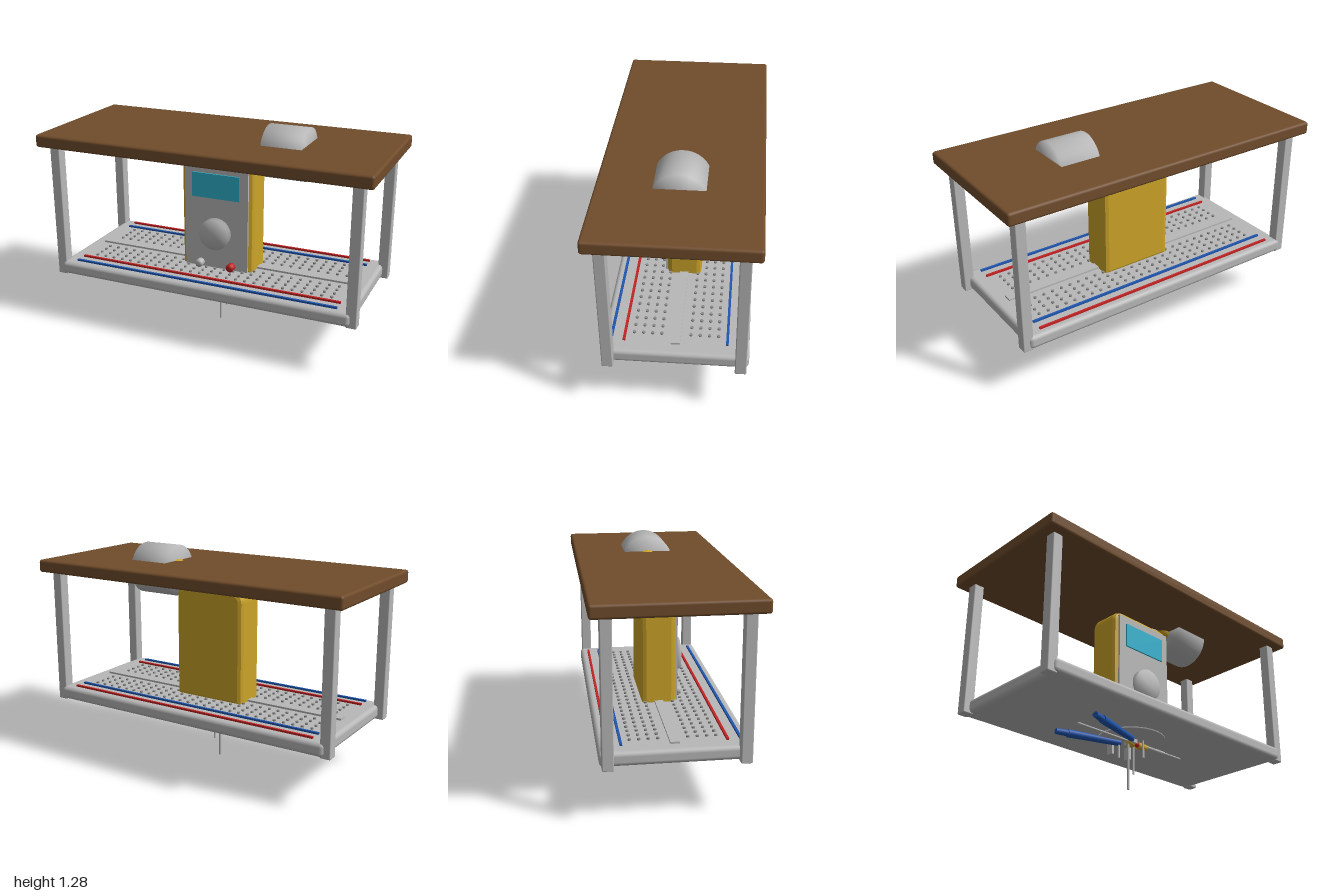
import * as THREE from 'three';
import { mergeVertices } from 'three/addons/utils/BufferGeometryUtils.js';
import { RoundedBoxGeometry } from 'three/addons/geometries/RoundedBoxGeometry.js';

const paint = (name, color) => Object.assign(new THREE.MeshStandardMaterial({ color }), { name });

export function createModel() {
  const root = new THREE.Group();
  root.name = 'workbench';
  const wood = paint('wood', 0x704c2b);
  const metal = paint('metal', 0xb8b8b8);
  const holeGrey = paint('holeGrey', 0x8a8a8a);
  const yellow = paint('yellow', 0xcca429);
  const teal = paint('teal', 0x2eb2cf);
  const red = paint('red', 0xc42222);
  const blue = paint('blue', 0x1f56b0);

  const add = (name, geo, mat, x = 0, y = 0, z = 0, parent = root) => {
    const m = new THREE.Mesh(geo, mat);
    m.name = name;
    m.position.set(x, y, z);
    parent.add(m);
    return m;
  };
  const box = (name, mat, w, h, d, x, y, z, parent) =>
    add(name, new THREE.BoxGeometry(w, h, d), mat, x, y, z, parent);
  const rounded = (name, mat, w, h, d, r, x, y, z) =>
    add(name, new RoundedBoxGeometry(w, h, d, 2, r), mat, x, y, z);

  // Cylinder whose caps share normals with the side, for a soft look
  const softCylinder = (r, h) => {
    const g = new THREE.CylinderGeometry(r, r, h, 40);
    g.deleteAttribute('normal');
    g.deleteAttribute('uv');
    const merged = mergeVertices(g);
    merged.computeVertexNormals();
    return merged;
  };

  // Tapered rod between two points
  const rod = (name, mat, a, b, r0, r1 = r0, parent = root) => {
    const p = new THREE.Vector3(...a), q = new THREE.Vector3(...b);
    const dir = q.clone().sub(p);
    const m = add(name, new THREE.CylinderGeometry(r1, r0, dir.length(), 16), mat, 0, 0, 0, parent);
    m.position.copy(p).add(q).multiplyScalar(0.5);
    m.quaternion.setFromUnitVectors(new THREE.Vector3(0, 1, 0), dir.normalize());
    return m;
  };

  // Table top and legs
  rounded('tableTop', wood, 2, 0.075, 0.885, 0.015, 0, 1.1475, 0);
  for (const sx of [-1, 1])
    for (const sz of [-1, 1])
      rounded('leg', metal, 0.062, 0.815, 0.062, 0.006, sx * 0.909, 0.7125, sz * 0.357);

  // Hole board with centre ridge and coloured rails
  rounded('board', metal, 1.81, 0.08, 0.8, 0.025, 0, 0.35, 0);
  box('centreRidge', metal, 1.66, 0.012, 0.05, 0, 0.395, 0);
  for (const [z, mat] of [[0.35, blue], [0.28, red], [-0.28, blue], [-0.35, red]])
    box('rail', mat, 1.64, 0.012, 0.014, 0, 0.395, z);

  const holes = new THREE.InstancedMesh === undefined ? null : new THREE.Group();
  holes.name = 'holes';
  root.add(holes);
  const holeGeo = new THREE.CylinderGeometry(0.009, 0.009, 0.01, 8);
  for (let i = 0; i < 27; i++)
    for (const z of [0.08, 0.13, 0.18, 0.23])
      for (const s of [-1, 1]) add('hole', holeGeo, holeGrey, (i - 13) * 0.058, 0.394, s * z, holes);

  // Meter body: rounded outline with bevelled faces
  const w = 0.2, top = 1.03, bottom = 0.4, c = 0.04;
  const outline = new THREE.Shape();
  outline.moveTo(-w, bottom);
  outline.lineTo(w, bottom);
  outline.lineTo(w, top - c);
  outline.quadraticCurveTo(w, top, w - c, top);
  outline.lineTo(-w + c, top);
  outline.quadraticCurveTo(-w, top, -w, top - c);
  const bodyGeo = new THREE.ExtrudeGeometry(outline, {
    depth: 0.146, bevelThickness: 0.027, bevelSize: 0.027, bevelSegments: 2, curveSegments: 6,
  });
  add('meterBody', bodyGeo, yellow, 0, 0, -0.073);

  // Meter face, screen, dial and sockets
  box('meterFace', metal, 0.4, 0.635, 0.02, 0, 0.7075, 0.102);
  box('meterScreen', teal, 0.3, 0.148, 0.009, 0, 0.903, 0.1165);
  add('meterDial', softCylinder(0.094, 0.045), metal, 0, 0.614, 0.131).rotation.x = Math.PI / 2;
  for (const [x, mat] of [[-0.1, metal], [0.1, red]])
    add('socket', softCylinder(0.024, 0.036), mat, x, 0.415, 0.128).rotation.x = Math.PI / 2;

  // Lamp arm, joint and drum head
  rod('lampArm', metal, [0.05, 1.025, 0], [0.28, 1.15, 0], 0.024);
  add('lampJoint', new THREE.SphereGeometry(0.068, 24, 16), yellow, 0.28, 1.125, 0);
  add('lampHead', softCylinder(0.153, 0.24), metal, 0.4, 1.124, 0).rotation.z = Math.PI / 2;

  // Tool hanging beneath the board
  const tool = new THREE.Group();
  tool.name = 'underTool';
  root.add(tool);
  add('mountDisk', softCylinder(0.2, 0.012), metal, 0, 0.307, 0, tool);
  for (const s of [-1, 1]) {
    rod('handle', blue, [-0.04, 0.29, s * 0.05], [-0.36, 0.29, s * 0.145], 0.018, 0.024, tool);
    rod('handleEnd', blue, [-0.35, 0.29, s * 0.142], [-0.43, 0.29, s * 0.166], 0.019, 0.017, tool);
    rod('sidePin', metal, [s * 0.05, 0.31, s * 0.05], [s * 0.05, 0.195, s * 0.05], 0.007, 0.007, tool);
    box('blade', metal, 0.016, 0.085, 0.042, s * 0.068, 0.268, -0.1, tool);
    box('clamp', metal, 0.03, 0.03, 0.022, 0, 0.293, s * 0.03, tool);
  }
  rod('longPin', metal, [-0.02, 0.31, 0], [-0.02, 0, 0], 0.007, 0.007, tool);
  rod('shortPin', metal, [0.02, 0.31, 0], [0.02, 0.1, 0], 0.006, 0.006, tool);
  rod('spindle', metal, [-0.41, 0.296, 0], [0.42, 0.296, 0], 0.006, 0.006, tool);
  rod('shaft', metal, [0.1, 0.295, 0], [0.28, 0.295, 0], 0.012, 0.01, tool);
  rod('collar', yellow, [0.05, 0.287, 0], [0.12, 0.287, 0], 0.022, 0.02, tool);
  add('pivot', new THREE.SphereGeometry(0.028, 16, 12), yellow, 0, 0.288, 0, tool);
  add('redBead', new THREE.SphereGeometry(0.016, 12, 8), red, 0.03, 0.28, 0.02, tool);

  return root;
}
